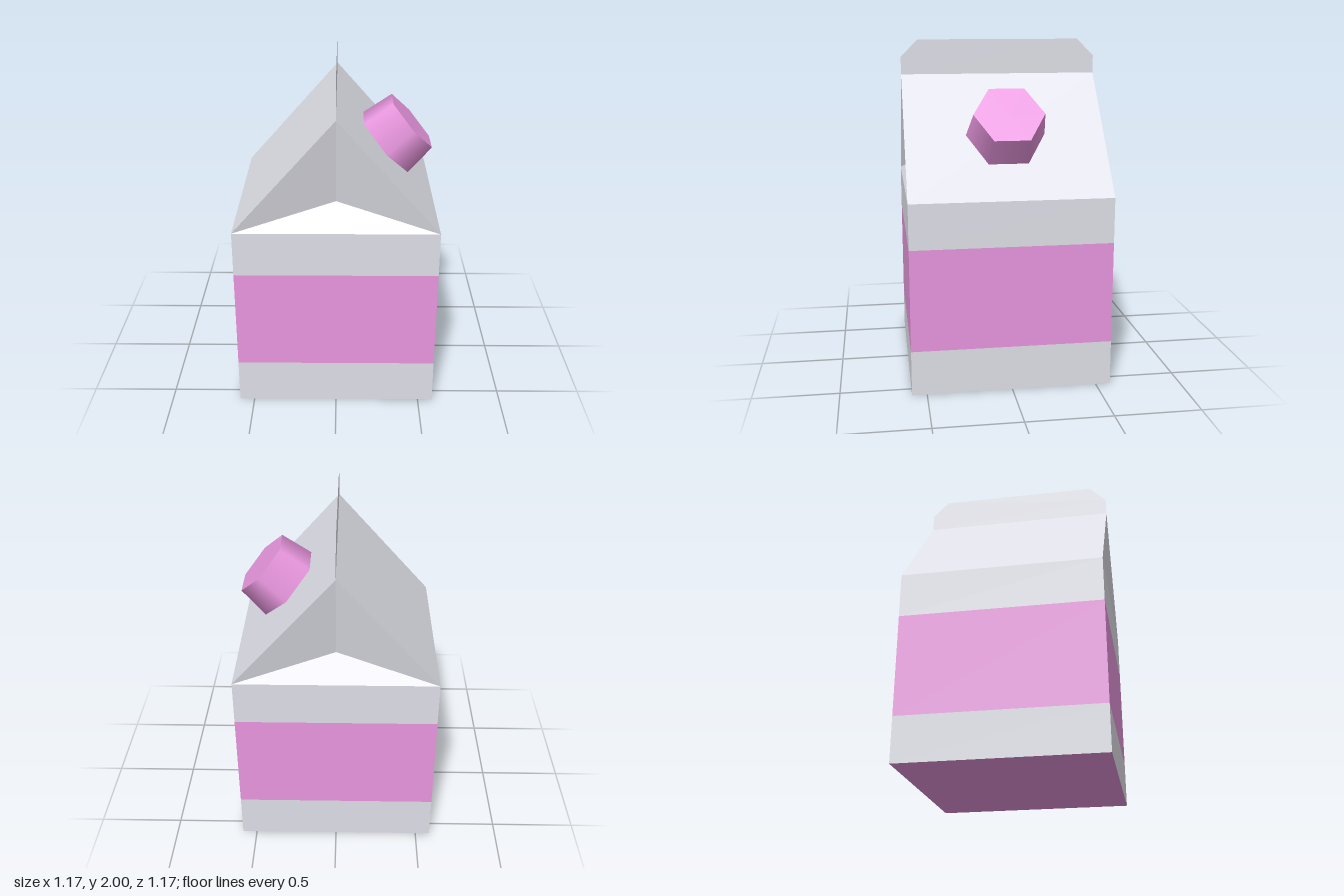
import * as THREE from 'three';

const H = 0.587;       // half width of the carton
const EAVE = 1.13;     // top of the straight walls
const RIDGE = 1.795;   // top of the gable
const TOP = 2.0;       // top of the sealed fin

// Flat-shaded mesh from convex polygons, corners counter-clockwise seen from outside
function facets(name, polygons, material) {
  const pos = [];
  for (const p of polygons)
    for (let i = 1; i < p.length - 1; i++) pos.push(...p[0], ...p[i], ...p[i + 1]);
  const g = new THREE.BufferGeometry();
  g.setAttribute('position', new THREE.Float32BufferAttribute(pos, 3));
  g.computeVertexNormals();
  const mesh = new THREE.Mesh(g, material);
  mesh.name = name;
  return mesh;
}

// Four walls of the square carton between two heights
function wallBand(name, y0, y1, material) {
  const c = [[-H, H], [H, H], [H, -H], [-H, -H]];
  const walls = c.map(([ax, az], i) => {
    const [bx, bz] = c[(i + 1) % 4];
    return [[ax, y0, az], [bx, y0, bz], [bx, y1, bz], [ax, y1, az]];
  });
  return facets(name, walls, material);
}

export function createModel() {
  const card = new THREE.MeshStandardMaterial({ color: 0xe3e3ec });
  card.name = 'paleCard';
  const pink = new THREE.MeshStandardMaterial({ color: 0xee9ae4 });
  pink.name = 'pink';

  const model = new THREE.Group();
  model.name = 'carton';

  // Straight walls with the pink band, and the pink base
  model.add(
    wallBand('lowerWalls', 0, 0.265, card),
    wallBand('pinkBand', 0.265, 0.865, pink),
    wallBand('upperWalls', 0.865, EAVE, card),
    facets('base', [[[-H, 0, -H], [H, 0, -H], [H, 0, H], [-H, 0, H]]], pink)
  );

  // Sloping roof panels
  model.add(facets('roofPanels', [
    [[H, EAVE, H], [H, EAVE, -H], [0, RIDGE, -H], [0, RIDGE, H]],
    [[-H, EAVE, -H], [-H, EAVE, H], [0, RIDGE, H], [0, RIDGE, -H]],
  ], card));

  // Tucked-in gable folds, front and back
  for (const s of [1, -1]) {
    const left = [s * H, EAVE, s * H], right = [-s * H, EAVE, s * H];
    const peak = [0, RIDGE, s * H], tuck = [0, 1.285, s * 0.482];
    const fold = facets(s > 0 ? 'frontGableFold' : 'backGableFold', [
      [right, left, tuck],
      [left, peak, tuck],
      [peak, right, tuck],
    ], card);
    model.add(fold);
  }

  // Sealed fin along the ridge, a flat sheet seen from both sides
  const fin = [[0, RIDGE, H], [0, RIDGE, -H], [0, 1.9, -H], [0, TOP, -0.485], [0, TOP, 0.485], [0, 1.9, H]];
  model.add(facets('sealedFin', [fin, [...fin].reverse()], card));

  // Hexagonal screw cap standing square to the right-hand roof slope
  const height = 0.207;
  const cap = new THREE.Mesh(new THREE.CylinderGeometry(0.205, 0.232, height, 6), pink);
  cap.name = 'screwCap';
  const normal = new THREE.Vector3(RIDGE - EAVE, H, 0).normalize();
  cap.rotation.z = -Math.atan2(normal.x, normal.y);
  cap.position.set(0.2925, 1.462, 0).addScaledVector(normal, height / 2);
  model.add(cap);

  return model;
}
